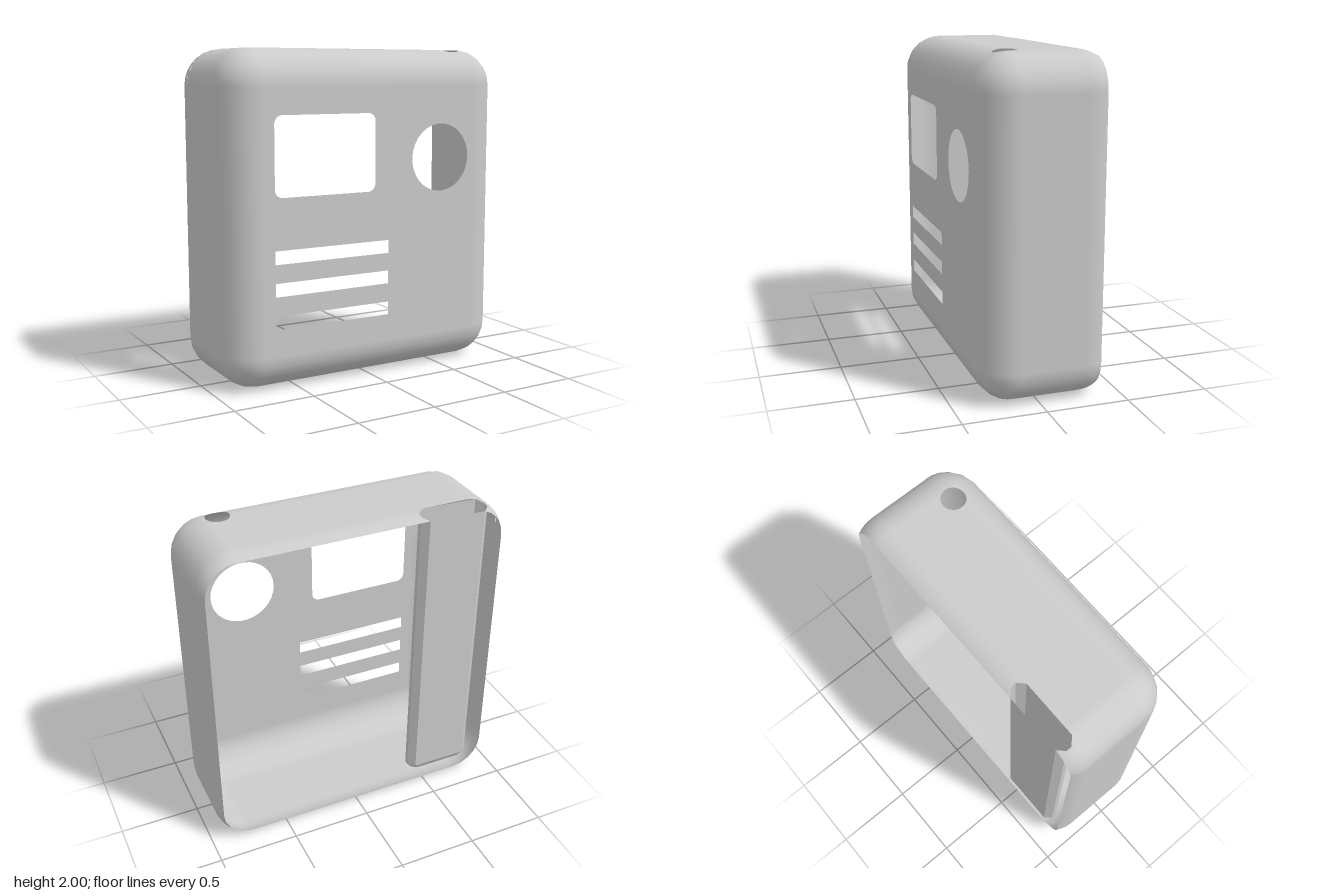
import * as THREE from 'three';

const R = 0.22;                                   // edge rounding
const CX = 0.73, Y0 = 0.22, Y1 = 1.78;            // centres of the rounded corners
const ZB = -0.25, ZF = 0.14, BACK = -0.36, FRONT = 0.36;
const SEG = 5;                                    // facets per rounded corner

// Corner radius of the case cross-section at depth z
function rhoAt(z) {
  const d = z > ZF ? z - ZF : z < ZB ? ZB - z : 0;
  return Math.sqrt(Math.max(0, R * R - d * d));
}

// Height of the case's top surface
function topAt(x, z) {
  const over = Math.max(0, Math.abs(x) - CX);
  return Y1 + Math.sqrt(Math.max(0, rhoAt(z) ** 2 - over * over));
}

// Rounded-rectangle section running clockwise from xR to xL, leaving a gap on top
function caseRing(z, xL, xR) {
  const rho = rhoAt(z);
  const clip = (x) => Math.asin(Math.min(1, Math.max(0, Math.abs(x) - CX) / Math.max(rho, 1e-4)));
  const pts = [[xR, topAt(xR, z), z]];
  const corners = [[CX, Y1], [CX, Y0], [-CX, Y0], [-CX, Y1]];
  corners.forEach(([cx, cy], k) => {
    const a0 = k * Math.PI / 2 + (k === 0 ? clip(xR) : 0);
    const a1 = (k + 1) * Math.PI / 2 - (k === 3 ? clip(xL) : 0);
    for (let i = 0; i <= SEG; i++) {
      const a = a0 + (a1 - a0) * i / SEG;
      pts.push([cx + rho * Math.sin(a), cy + rho * Math.cos(a), z]);
    }
  });
  pts.push([xL, topAt(xL, z), z]);
  return pts;
}

// Skin between consecutive sections
function loft(rings) {
  const n = rings[0].length, index = [];
  for (let i = 0; i < rings.length - 1; i++) {
    for (let j = 0; j < n - 1; j++) {
      const a = i * n + j, b = a + 1, c = a + n, d = c + 1;
      index.push(a, c, b, b, c, d);
    }
  }
  const g = new THREE.BufferGeometry();
  g.setAttribute('position', new THREE.Float32BufferAttribute(rings.flat(2), 3));
  g.setIndex(index);
  g.computeVertexNormals();
  return g;
}

// Normals of a rounded box: away from its inner core
function roundNormals(g) {
  const p = g.attributes.position, v = new THREE.Vector3(), c = new THREE.Vector3();
  const lo = new THREE.Vector3(-CX, Y0, ZB), hi = new THREE.Vector3(CX, Y1, ZF);
  for (let i = 0; i < p.count; i++) {
    v.fromBufferAttribute(p, i);
    c.copy(v).clamp(lo, hi);
    v.sub(c).normalize();
    g.attributes.normal.setXYZ(i, v.x, v.y, v.z);
  }
  return g;
}

function roundedRect(path, x0, y0, x1, y1, r) {
  path.moveTo(x0 + r, y0);
  path.lineTo(x1 - r, y0);
  if (r) path.absarc(x1 - r, y0 + r, r, -Math.PI / 2, 0);
  path.lineTo(x1, y1 - r);
  if (r) path.absarc(x1 - r, y1 - r, r, 0, Math.PI / 2);
  path.lineTo(x0 + r, y1);
  if (r) path.absarc(x0 + r, y1 - r, r, Math.PI / 2, Math.PI);
  path.lineTo(x0, y0 + r);
  if (r) path.absarc(x0 + r, y0 + r, r, Math.PI, Math.PI * 1.5);
  path.closePath();
  return path;
}

export function createModel() {
  const group = new THREE.Group();
  const smooth = new THREE.MeshStandardMaterial({ color: 0xcccccc, side: THREE.DoubleSide });
  const flat = new THREE.MeshStandardMaterial({ color: 0xcccccc, side: THREE.DoubleSide, flatShading: true });
  const add = (name, geometry, material) => {
    const mesh = new THREE.Mesh(geometry, material);
    mesh.name = name;
    group.add(mesh);
  };

  // Front panel with window, round opening and three slots
  const face = roundedRect(new THREE.Shape(), -CX, Y0, CX, Y1, 0);
  face.holes.push(roundedRect(new THREE.Path(), -0.67, 1.15, 0, 1.62, 0.05));
  face.holes.push(new THREE.Path().absarc(0.475, 1.335, 0.21, 0, Math.PI * 2));
  for (const y of [0.38, 0.575, 0.765]) {
    face.holes.push(roundedRect(new THREE.Path(), -0.67, y, 0.095, y + 0.08, 0));
  }
  add('frontPanel', new THREE.ShapeGeometry(face, 15).translate(0, 0, FRONT), smooth);

  // Case walls and front rounding, with the small round hole in the top
  const hx = 0.665, hz = 0.145, hr = 0.073, rows = [caseRing(ZB, hx, hx)];
  for (let i = 0; i <= 12; i++) {
    const a = Math.PI * i / 12, w = hr * Math.sin(a);
    rows.push(caseRing(hz - hr * Math.cos(a), hx - w, hx + w));
  }
  for (let i = 2; i <= SEG; i++) {
    rows.push(caseRing(ZF + R * Math.sin(i * Math.PI / 2 / SEG), hx, hx));
  }
  add('caseWalls', roundNormals(loft(rows)), smooth);

  // Rear band of the case, notched where the sleeve opens
  const notch = [[BACK, 0.18], [-0.32, 0.22], [-0.29, 0.22], [ZB, 0.18]];
  const sx = -0.61, sz = -0.305;
  add('rearBand', roundNormals(loft(notch.map(([z, w]) => caseRing(z, sx - w, sx + w)))), smooth);

  // Chamfered sleeve, open at the top and closed at the bottom
  const section = [
    ...notch.slice().reverse().map(([z, w]) => [sx + w, z]),
    ...notch.map(([z, w]) => [sx - w, z]),
  ];
  section.push(section[0]);
  const inset = ([x, z], y) => [sx + (x - sx) * 0.84, y, sz + (z - sz) * 0.6];
  add('sleeve', loft([
    section.map(([x, z]) => [x, topAt(x, z), z]),
    section.map(([x, z]) => [x, 0.14, z]),
    section.map((p) => inset(p, 0.1)),
    section.map(() => [sx, 0.1, sz]),
  ]), flat);

  return group;
}
